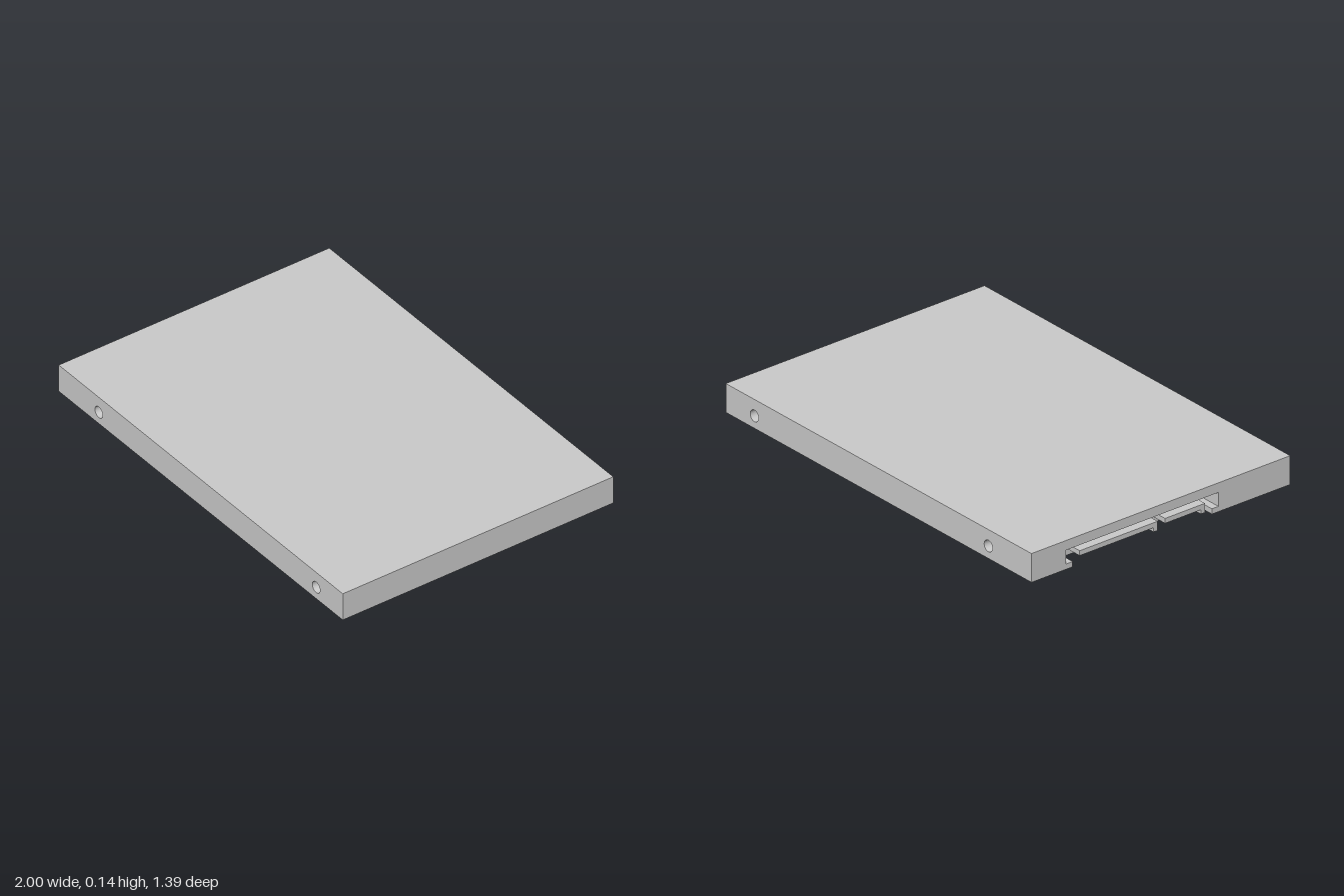
import * as THREE from 'three';

const X0 = -0.997, X1 = 1, Z = 0.697, H = 0.135;
const FLOOR = 0.025, LID = 0.11;
const BAY = { back: -0.9, z0: -0.51, z1: 0.31, top: 0.09 };

export function createModel() {
  const group = new THREE.Group();
  const material = new THREE.MeshStandardMaterial({ color: 0xcccccc });

  const add = (name, geometry) => {
    const mesh = new THREE.Mesh(geometry, material);
    mesh.name = name;
    group.add(mesh);
    return mesh;
  };
  // Box given by its limits on each axis
  const block = (name, x0, x1, y0, y1, z0, z1) =>
    add(name, new THREE.BoxGeometry(x1 - x0, y1 - y0, z1 - z0))
      .position.set((x0 + x1) / 2, (y0 + y1) / 2, (z0 + z1) / 2);

  // Bottom plate with the connector cut-out, drawn in x and z
  const plan = new THREE.Shape([
    [X0, -Z], [X1, -Z], [X1, Z], [X0, Z],
    [X0, 0.275], [BAY.back, 0.275], [BAY.back, -0.475], [X0, -0.475],
  ].map(([x, z]) => new THREE.Vector2(x, z)));
  const plate = new THREE.ExtrudeGeometry(plan, { depth: FLOOR, bevelEnabled: false });
  plate.rotateX(Math.PI / 2).translate(0, FLOOR, 0);
  add('bottomPlate', plate);

  block('lid', X0, X1, LID, H, -Z, Z);

  // Long side walls, each with two screw holes
  const wallShape = new THREE.Shape([
    new THREE.Vector2(X0, FLOOR), new THREE.Vector2(X1, FLOOR),
    new THREE.Vector2(X1, LID), new THREE.Vector2(X0, LID),
  ]);
  for (const x of [-0.715, 0.813]) {
    wallShape.holes.push(new THREE.Path().absarc(x, 0.058, 0.027, 0, Math.PI * 2, true));
  }
  const thickness = 0.05;
  for (const [name, z] of [['frontWall', Z - thickness], ['backWall', -Z]]) {
    const wall = new THREE.ExtrudeGeometry(wallShape,
      { depth: thickness, bevelEnabled: false, curveSegments: 24 });
    add(name, wall.translate(0, 0, z));
  }

  // End walls and the recess around the connector
  const inner = Z - thickness;
  block('closedEndWall', X1 - 0.04, X1, FLOOR, LID, -inner, inner);
  block('connectorEndWallBack', X0, BAY.back, FLOOR, LID, -inner, BAY.z0);
  block('connectorEndWallFront', X0, BAY.back, FLOOR, LID, BAY.z1, inner);
  block('recessCeiling', X0, BAY.back, BAY.top, LID, BAY.z0, BAY.z1);
  block('recessBack', BAY.back, BAY.back + 0.02, 0, LID, BAY.z0, BAY.z1);

  // Power and data tongues, each with a key turned down at one end
  for (const [name, z0, z1] of [['power', -0.44, -0.02], ['data', 0.02, 0.235]]) {
    block(name + 'Tongue', -1, BAY.back, 0.042, 0.065, z0, z1);
    block(name + 'Key', -1, BAY.back, 0.022, 0.042, z1 - 0.022, z1);
  }

  return group;
}
